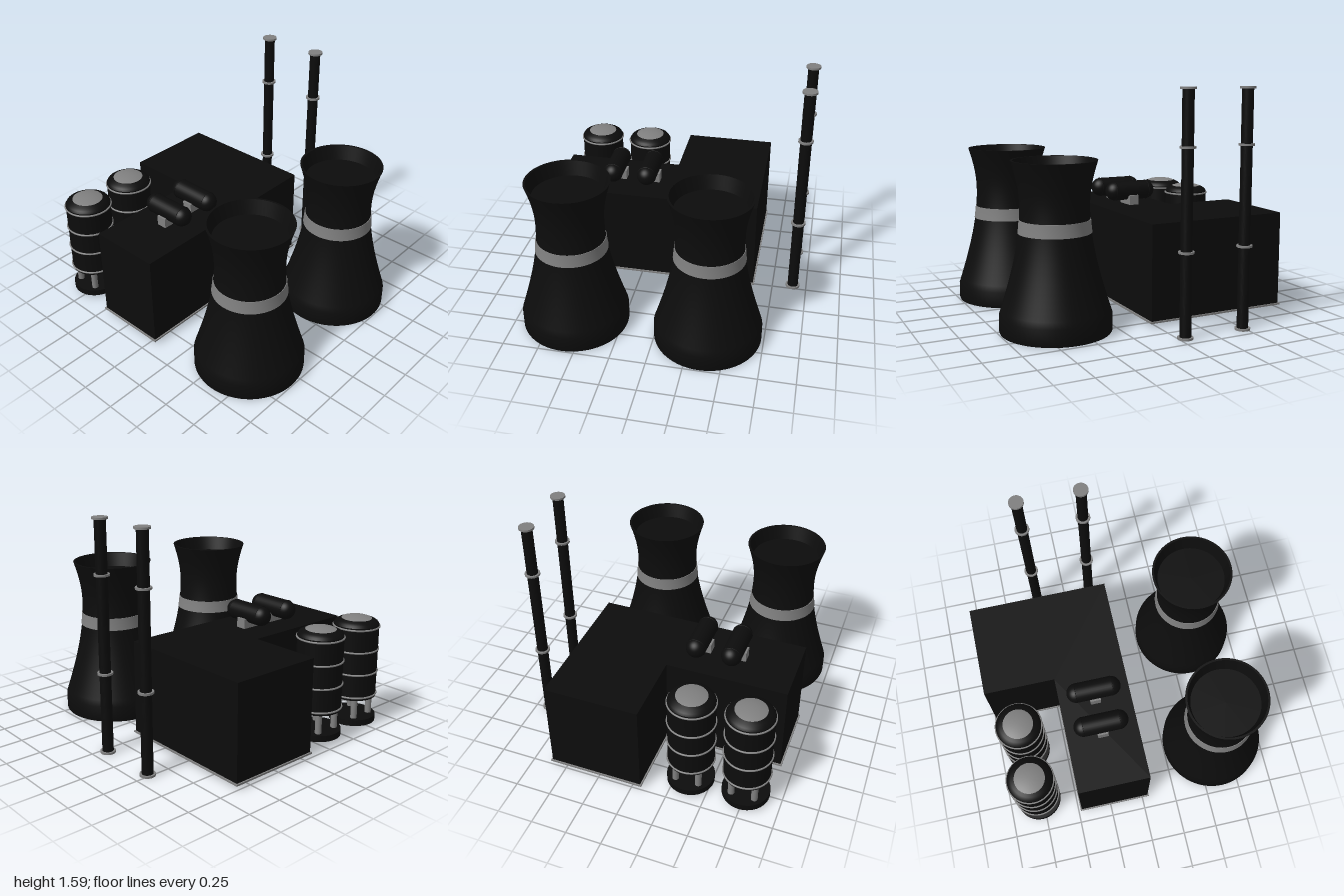
import * as THREE from 'three';
import { toCreasedNormals } from 'three/addons/utils/BufferGeometryUtils.js';

const black = new THREE.MeshStandardMaterial({ color: 0x0c0c0c });
const grey = new THREE.MeshStandardMaterial({ color: 0x808080 });

function add(parent, name, geometry, material, x = 0, y = 0, z = 0) {
  const mesh = new THREE.Mesh(geometry, material);
  mesh.name = name;
  mesh.position.set(x, y, z);
  parent.add(mesh);
  return mesh;
}

function group(parent, name, x, y, z) {
  const g = new THREE.Group();
  g.name = name;
  g.position.set(x, y, z);
  parent.add(g);
  return g;
}

// Smooth lathe that keeps its sharp corners
function lathe(points, segments = 48) {
  const profile = points.map(([r, y]) => new THREE.Vector2(r, y));
  return toCreasedNormals(new THREE.LatheGeometry(profile, segments), 0.5);
}

const disc = (r, h, segments = 32) => new THREE.CylinderGeometry(r, r, h, segments);

// Hyperbolic shell radius of a cooling tower at height y
function towerRadius(y) {
  const spread = y < 0.83 ? 0.548 : 0.41;
  return 0.228 * Math.hypot(1, (y - 0.83) / spread);
}

function shellPoints(from, to, steps, offset = 0) {
  return Array.from({ length: steps + 1 }, (_, i) => {
    const y = from + ((to - from) * i) / steps;
    return [towerRadius(y) + offset, y];
  });
}

function coolingTower(parent, x, bandY) {
  const tower = group(parent, 'coolingTower', x, 0, 0.625);
  add(tower, 'towerShell', lathe([
    [0, 0.005], [0.37, 0.005], [0.373, 0.012],
    ...shellPoints(0.12, 1.13, 24),
    [0.268, 1.13], [0.24, 1.03], [0, 1.03],
  ], 64), black);
  const low = bandY, high = bandY + 0.088;
  add(tower, 'towerBand', lathe([
    [towerRadius(low) - 0.005, low],
    ...shellPoints(low, high, 4, 0.004),
    [towerRadius(high) - 0.005, high],
  ], 64), grey);
}

// L-shaped slab lying flat, inset from the outline
function footprint(inset, height) {
  const l = -0.92 + inset, r = 0.615 - inset, notchX = -0.07 + inset;
  const front = 0.05 - inset, back = -1 + inset, notchZ = -0.485 + inset;
  const corners = [[l, front], [r, front], [r, back], [notchX, back], [notchX, notchZ], [l, notchZ]];
  const shape = new THREE.Shape(corners.map(([x, z]) => new THREE.Vector2(x, -z)));
  return new THREE.ExtrudeGeometry(shape, { depth: height, bevelEnabled: false }).rotateX(-Math.PI / 2);
}

function silo(parent, x, z) {
  const tank = group(parent, 'silo', x, 0, z);
  add(tank, 'siloBase', disc(0.165, 0.045, 40), black, 0, 0.0475, 0);
  for (let i = 0; i < 4; i++) {
    const a = Math.PI / 4 + (i * Math.PI) / 2;
    add(tank, 'siloLeg', disc(0.023, 0.16, 16), grey, 0.115 * Math.cos(a), 0.145, 0.115 * Math.sin(a));
  }
  add(tank, 'siloBody', lathe([
    [0, 0.215], [0.16, 0.215], [0.16, 0.75], [0.15, 0.766], [0.13, 0.778], [0.107, 0.788],
  ]), black);
  add(tank, 'siloCap', lathe([[0.107, 0.788], [0.08, 0.797], [0.04, 0.803], [0, 0.805]]), grey);
  for (const y of [0.235, 0.405, 0.57, 0.735]) {
    const ring = new THREE.TorusGeometry(0.162, 0.007, 8, 48).rotateX(Math.PI / 2);
    add(tank, 'siloRing', ring, grey, 0, y, 0);
  }
}

function chimney(parent, z) {
  const stack = group(parent, 'chimney', 0.9, 0, z);
  add(stack, 'chimneyPipe', disc(0.038, 1.58), black, 0, 0.8, 0);
  for (const y of [0.01, 0.567, 1.228, 1.59]) {
    add(stack, 'chimneyFlange', disc(0.052, 0.014), grey, 0, y, 0);
  }
}

function pressureTank(parent, x) {
  const tank = group(parent, 'pressureTank', x, 0, -0.218);
  const body = new THREE.CapsuleGeometry(0.07, 0.25, 10, 32).rotateX(Math.PI / 2);
  add(tank, 'tankBody', body, black, 0, 0.802, 0);
  // Thin seams where the rounded ends meet the body
  for (const z of [-0.132, 0.132]) {
    add(tank, 'tankSeam', new THREE.TorusGeometry(0.069, 0.003, 6, 32), black, 0, 0.802, z);
  }
  add(tank, 'tankSaddle', new THREE.BoxGeometry(0.155, 0.075, 0.075), grey, 0, 0.735, 0);
}

export function createModel() {
  const plant = new THREE.Group();
  plant.name = 'powerPlant';

  // Main building on its slab
  add(plant, 'foundationSlab', footprint(0, 0.012), grey, 0, 0.03, 0);
  add(plant, 'mainBuilding', footprint(0.01, 0.66), black, 0, 0.041, 0);

  // Cooling towers in front
  coolingTower(plant, -0.585, 0.615);
  coolingTower(plant, 0.36, 0.66);

  // Silos in the rear corner, tanks on the roof, chimneys at the side
  silo(plant, -0.75, -0.778);
  silo(plant, -0.357, -0.787);
  for (const x of [-0.48, -0.228]) pressureTank(plant, x);
  for (const z of [-0.042, -0.48]) chimney(plant, z);

  return plant;
}
